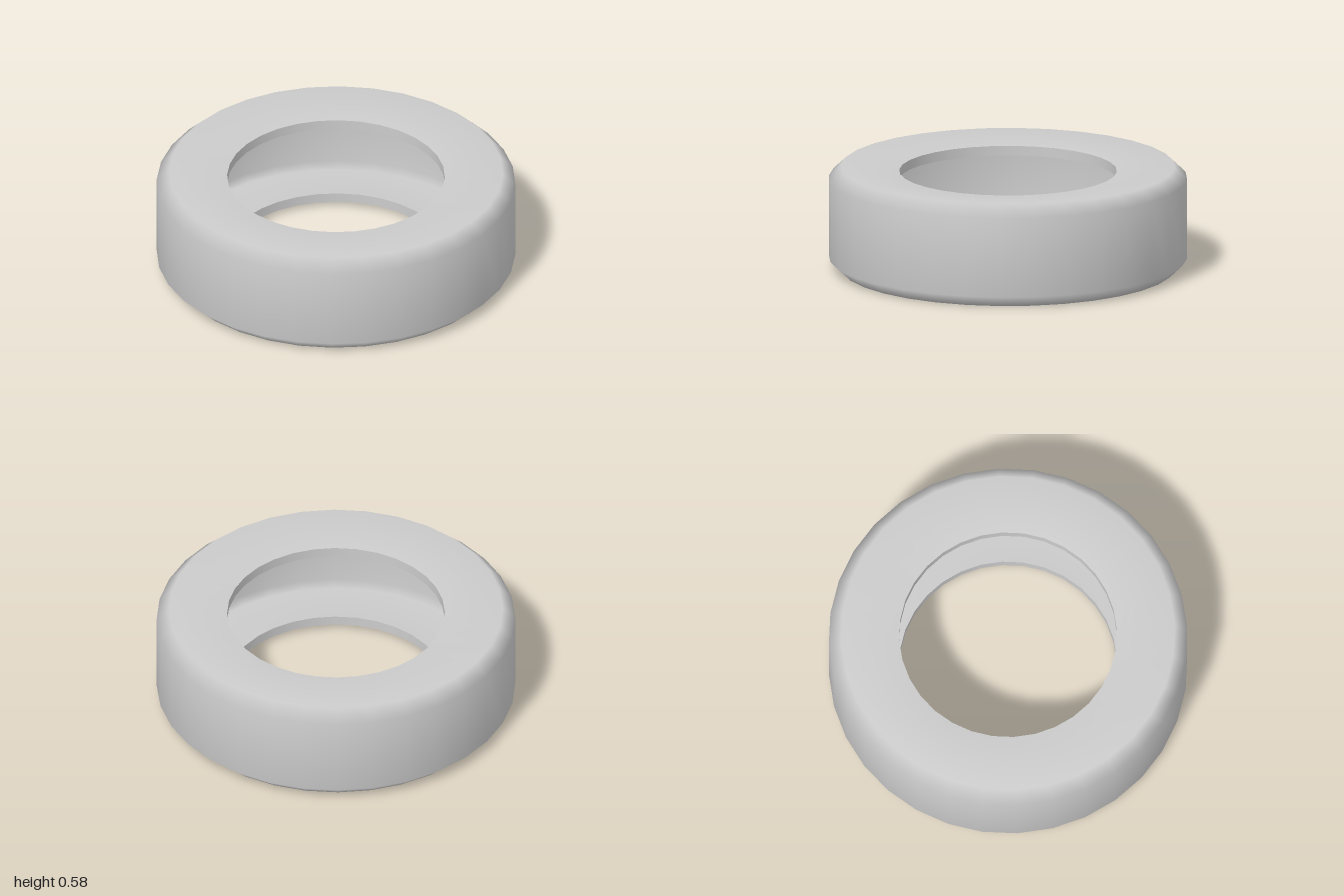
import * as THREE from 'three';

const SIDES = 32;
const HEIGHT = 0.584;

export function createModel() {
  const group = new THREE.Group();
  group.name = 'tyre';
  const material = new THREE.MeshStandardMaterial({ color: 0xcccccc });

  // Turns a profile of [radius, height] points around the y axis
  const addRing = (name, profile) => {
    const points = profile.map(([r, y]) => new THREE.Vector2(r, y));
    const mesh = new THREE.Mesh(new THREE.LatheGeometry(points, SIDES), material);
    mesh.name = name;
    group.add(mesh);
  };

  // Completes a lower half profile with its mirror image
  const mirrored = (half) => [...half, ...half.map(([r, y]) => [r, HEIGHT - y]).reverse()];

  // Tread, bevelled shoulders and slightly dished sidewalls
  addRing('outerShell', mirrored([[0.607, 0.027], [0.93, 0], [1, 0.066]]));

  // Hollow inside, facing the axis
  addRing('innerCavity', mirrored([[0.607, 0.082], [0.907, 0.057], [0.945, 0.092]]).reverse());

  // Flat bead edges around both openings
  addRing('lowerBead', [[0.607, 0.082], [0.607, 0.027]]);
  addRing('upperBead', [[0.607, HEIGHT - 0.027], [0.607, HEIGHT - 0.082]]);

  return group;
}
